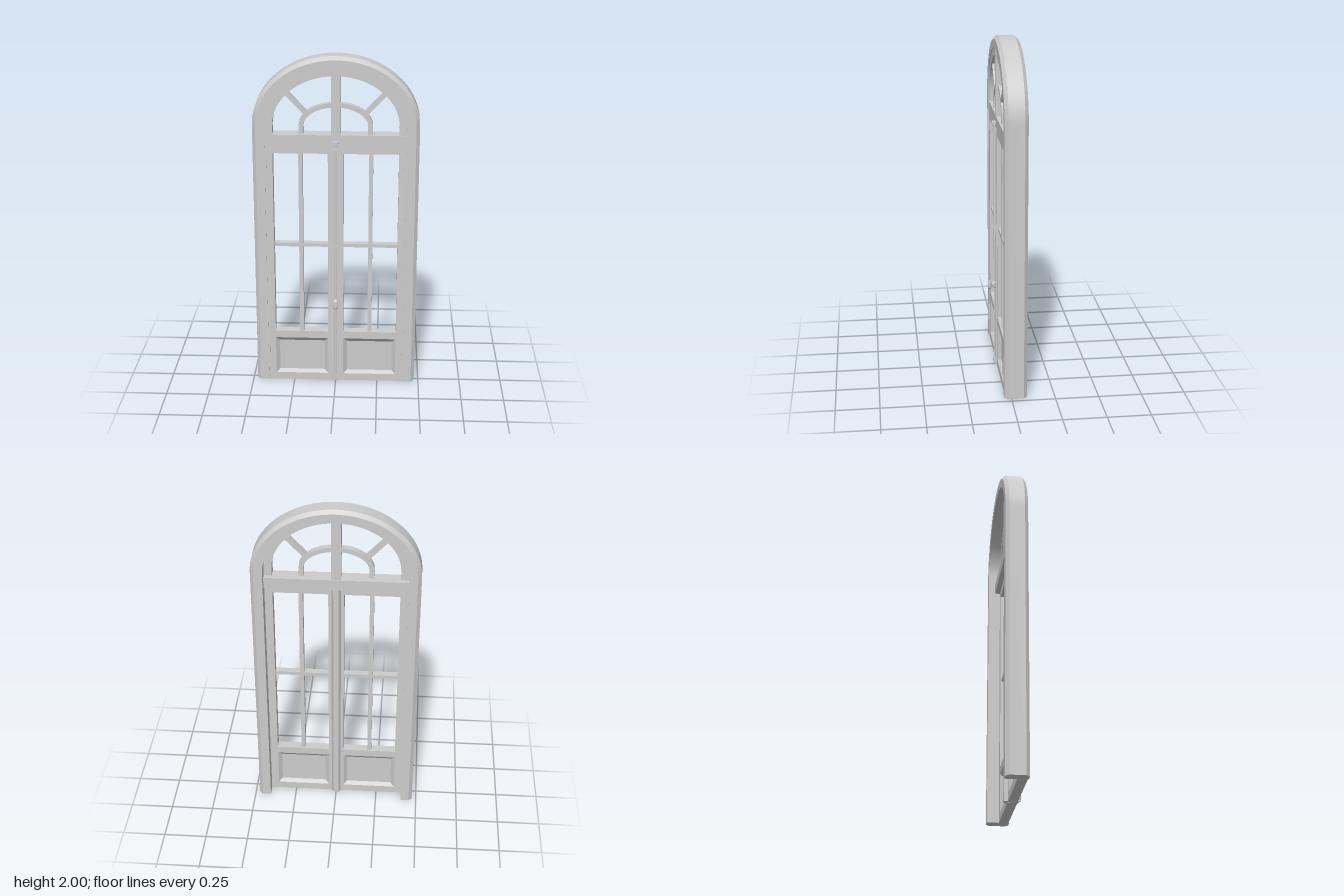
import * as THREE from 'three';
import { toCreasedNormals } from 'three/addons/utils/BufferGeometryUtils.js';

const SPRING = 1.6; // height where the arch begins
const mat = new THREE.MeshStandardMaterial({ color: 0xcccccc, side: THREE.DoubleSide });

function add(parent, name, geometry) {
  const mesh = new THREE.Mesh(geometry, mat);
  mesh.name = name;
  parent.add(mesh);
  return mesh;
}

// Box given by its limits
function box(parent, name, x0, x1, y0, y1, z0, z1) {
  const m = add(parent, name, new THREE.BoxGeometry(x1 - x0, y1 - y0, z1 - z0));
  m.position.set((x0 + x1) / 2, (y0 + y1) / 2, (z0 + z1) / 2);
  return m;
}

// Upright, flat-topped ellipse path from left foot to right foot
function archPath(rx, ry, y0, n = 48) {
  const pts = [new THREE.Vector2(-rx, y0)];
  for (let i = 0; i <= n; i++) {
    const a = Math.PI * (1 - i / n);
    pts.push(new THREE.Vector2(rx * Math.cos(a), SPRING + ry * Math.sin(a)));
  }
  pts.push(new THREE.Vector2(rx, y0));
  return pts;
}

function extrude(shape, z0, z1) {
  const g = new THREE.ExtrudeGeometry(shape, { depth: z1 - z0, bevelEnabled: false });
  g.translate(0, 0, z0);
  return toCreasedNormals(g, 0.5);
}

function archBand(outer, inner, y0, z0, z1) {
  const pts = [...archPath(...outer, y0), ...archPath(...inner, y0).reverse()];
  return extrude(new THREE.Shape(pts), z0, z1);
}

// Chamfered section [inset, z] swept around the arch
function frameGeometry() {
  const section = [[0, 0.02], [0.02, 0.04], [0.07, 0.04], [0.07, -0.09], [0.02, -0.09], [0, -0.07]];
  const m = section.length, pos = [], idx = [];
  const paths = section.map(([d]) => archPath(0.475 - d, 0.4 - d, 0));
  const n = paths[0].length;
  for (let i = 0; i < n; i++) section.forEach(([, z], j) => pos.push(paths[j][i].x, paths[j][i].y, z));
  for (let i = 0; i < n - 1; i++) {
    for (let j = 0; j < m; j++) {
      const a = i * m + j, b = i * m + (j + 1) % m;
      idx.push(a, b, a + m, b, b + m, a + m);
    }
  }
  const e = (n - 1) * m;
  for (let j = 1; j < m - 1; j++) idx.push(0, j + 1, j, e, e + j, e + j + 1);
  const g = new THREE.BufferGeometry();
  g.setAttribute('position', new THREE.Float32BufferAttribute(pos, 3));
  g.setIndex(idx);
  return toCreasedNormals(g, 0.5);
}

function rectPath(x0, x1, y0, y1) {
  return [[x0, y0], [x1, y0], [x1, y1], [x0, y1]].map(p => new THREE.Vector2(...p));
}

// Sunken field with sloping borders; zRim is the border edge, zField the flat
function sunkenField(x0, x1, y0, y1, zRim, zField) {
  const rim = rectPath(x0, x1, y0, y1);
  const field = rectPath(x0 + 0.022, x1 - 0.022, y0 + 0.016, y1 - 0.026);
  const pos = [...rim.flatMap(p => [p.x, p.y, zRim]), ...field.flatMap(p => [p.x, p.y, zField])];
  const idx = [4, 5, 6, 4, 6, 7];
  for (let i = 0; i < 4; i++) {
    const k = (i + 1) % 4;
    idx.push(i, k, 4 + i, k, 4 + k, 4 + i);
  }
  if (zRim < zField) idx.reverse(); // the rear field faces backwards
  let g = new THREE.BufferGeometry();
  g.setAttribute('position', new THREE.Float32BufferAttribute(pos, 3));
  g.setIndex(idx);
  g = g.toNonIndexed();
  g.computeVertexNormals();
  return g;
}

// One glazed leaf; s = 1 for +x, -1 for -x
function doorLeaf(s) {
  const leaf = new THREE.Group();
  leaf.name = s > 0 ? 'leftDoor' : 'rightDoor';
  const span = (a, b) => (s > 0 ? [a, b] : [-b, -a]);
  const [gx0, gx1] = span(0.045, 0.36);
  const shape = new THREE.Shape(rectPath(...span(0.002, 0.405), 0, 1.485));
  shape.holes.push(new THREE.Path(rectPath(gx0, gx1, 0.325, 1.44)));
  shape.holes.push(new THREE.Path(rectPath(gx0, gx1, 0.045, 0.28)));
  add(leaf, 'doorFrame', extrude(shape, -0.02, 0.035));
  add(leaf, 'panelFront', sunkenField(gx0, gx1, 0.045, 0.28, 0.035, 0.013));
  add(leaf, 'panelBack', sunkenField(gx0, gx1, 0.045, 0.28, -0.02, 0.002));
  box(leaf, 'verticalGlazingBar', ...span(0.19, 0.214), 0.325, 1.44, -0.012, 0.028);
  box(leaf, 'horizontalGlazingBar', gx0, gx1, 0.869, 0.89, -0.012, 0.028);
  for (const y of [0.12, 1.27]) box(leaf, 'hinge', ...span(0.393, 0.407), y, y + 0.1, 0.03, 0.043);
  return leaf;
}

export function createModel() {
  const model = new THREE.Group();
  model.name = 'archedDoubleDoor';

  add(model, 'outerFrame', frameGeometry());
  box(model, 'transom', -0.405, 0.405, 1.485, 1.55, -0.05, 0.038);

  // Fanlight
  const fan = new THREE.Group();
  fan.name = 'fanlight';
  model.add(fan);
  add(fan, 'fanlightSash', archBand([0.407, 0.337], [0.36, 0.29], 1.55, -0.02, 0.035));
  add(fan, 'innerArch', archBand([0.21, 0.135], [0.183, 0.109], 1.55, -0.012, 0.028));
  box(fan, 'fanlightMullion', -0.027, 0.027, 1.55, 1.915, -0.045, 0.035);
  box(fan, 'mullionCover', -0.016, 0.016, 1.55, 1.93, 0.03, 0.041);
  for (const s of [-1, 1]) {
    const a = new THREE.Vector2(0.155, 1.657), b = new THREE.Vector2(0.285, 1.795);
    const spoke = add(fan, 'spoke', new THREE.BoxGeometry(a.distanceTo(b), 0.024, 0.04));
    spoke.position.set(s * (a.x + b.x) / 2, (a.y + b.y) / 2, 0.008);
    spoke.rotation.z = s * Math.atan2(b.y - a.y, b.x - a.x);
  }

  model.add(doorLeaf(1), doorLeaf(-1));

  // Meeting strips at the centre, the rear one with splayed edges
  box(model, 'frontMeetingStrip', -0.02, 0.02, 0, 1.485, 0.03, 0.041);
  const rear = new THREE.Shape([[-0.027, 0.02], [-0.015, 0.042], [0.015, 0.042], [0.027, 0.02]]
    .map(p => new THREE.Vector2(...p)));
  const strip = add(model, 'rearMeetingStrip', extrude(rear, 0, 1.485));
  strip.rotation.x = -Math.PI / 2;
  strip.scale.y = 1;

  // Bolt rod with its guides
  const rod = add(model, 'boltRod', new THREE.CylinderGeometry(0.006, 0.006, 1.5, 12));
  rod.position.set(0, 0.755, 0.045);
  for (const y of [0.03, 0.88, 1.465]) box(model, 'rodGuide', -0.011, 0.011, y - 0.011, y + 0.011, 0.038, 0.055);
  box(model, 'boltKeeper', -0.018, 0.018, 1.503, 1.516, 0.036, 0.06);

  // Oval knob turned about z
  const profile = [[0, 0], [0.014, 0], [0.013, 0.008], [0.008, 0.014], [0.008, 0.022], [0.015, 0.029],
    [0.017, 0.036], [0.013, 0.043], [0, 0.046]].map(p => new THREE.Vector2(...p));
  const knob = add(model, 'knob', toCreasedNormals(new THREE.LatheGeometry(profile, 20), 0.7));
  knob.rotation.x = Math.PI / 2;
  knob.scale.z = 1.85;
  knob.position.set(0, 0.52, 0.041);
  return model;
}
